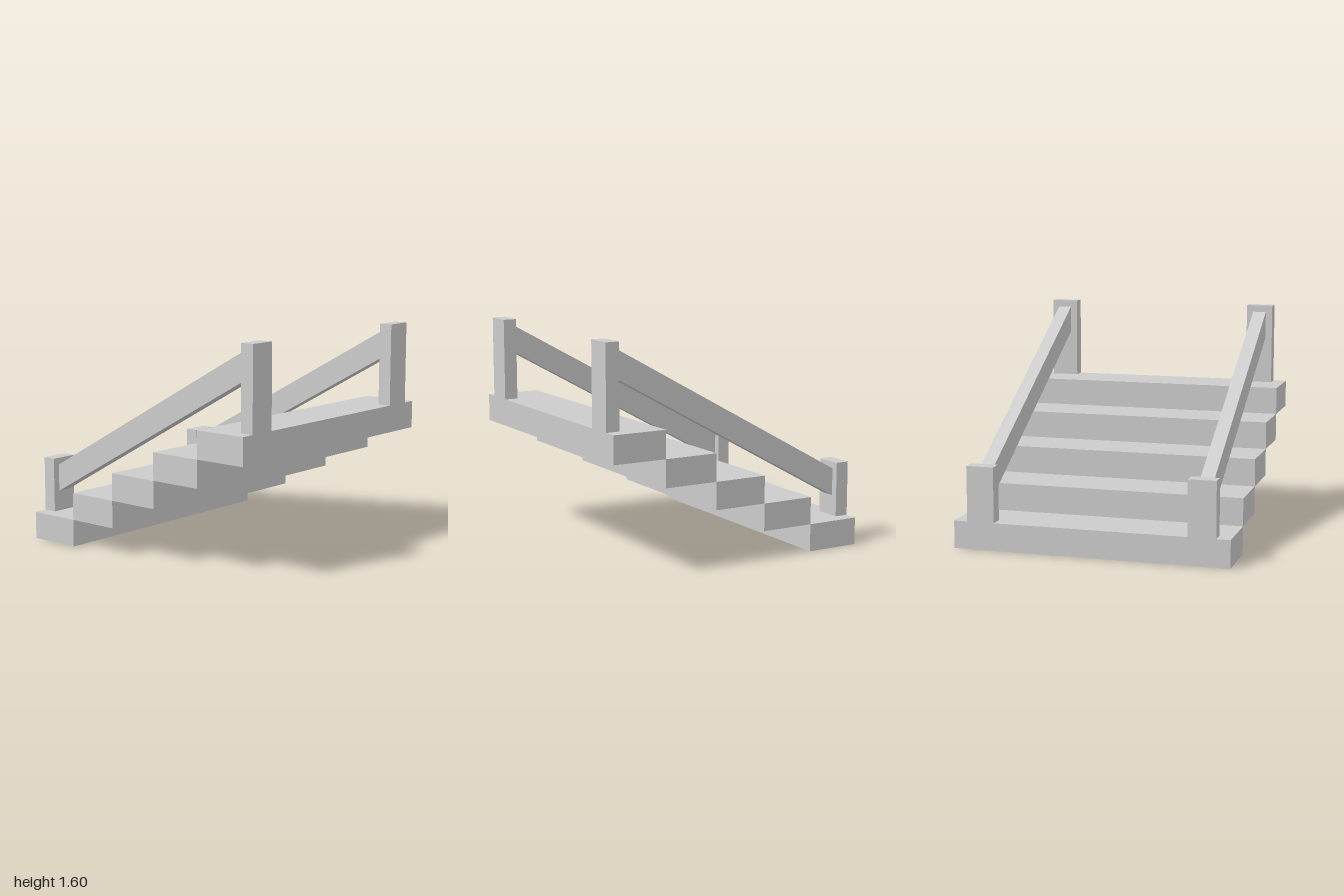
import * as THREE from 'three';

const material = new THREE.MeshStandardMaterial({ color: 0xcccccc, flatShading: true });

export function createModel() {
  const model = new THREE.Group();
  model.name = 'staircase';

  const add = (name, geometry, x, y, z) => {
    const mesh = new THREE.Mesh(geometry, material);
    mesh.name = name;
    mesh.position.set(x, y, z);
    model.add(mesh);
  };

  // Five block steps, rising towards the front
  const stepGeometry = new THREE.BoxGeometry(2, 0.2, 0.4);
  for (let i = 0; i < 5; i++) add(`step${i + 1}`, stepGeometry, 0, 0.1 + 0.2 * i, -0.8 + 0.4 * i);

  // Sloped handrail: side profile (z, y) with upright ends, extruded across its width
  const profile = new THREE.Shape([
    new THREE.Vector2(-0.9, 0.35),
    new THREE.Vector2(0.9, 1.35),
    new THREE.Vector2(0.9, 1.55),
    new THREE.Vector2(-0.9, 0.55),
  ]);
  const railGeometry = new THREE.ExtrudeGeometry(profile, { depth: 0.1, bevelEnabled: false });
  railGeometry.translate(0, 0, -0.05).rotateY(-Math.PI / 2);

  // Posts and handrail on each side
  const lowerPost = new THREE.BoxGeometry(0.2, 0.4, 0.1);
  const upperPost = new THREE.BoxGeometry(0.2, 0.6, 0.1);
  for (const [side, x] of [['left', 0.8], ['right', -0.8]]) {
    add(`${side}LowerPost`, lowerPost, x, 0.4, -0.95);
    add(`${side}UpperPost`, upperPost, x, 1.3, 0.95);
    add(`${side}Handrail`, railGeometry, x, 0, 0);
  }

  return model;
}
